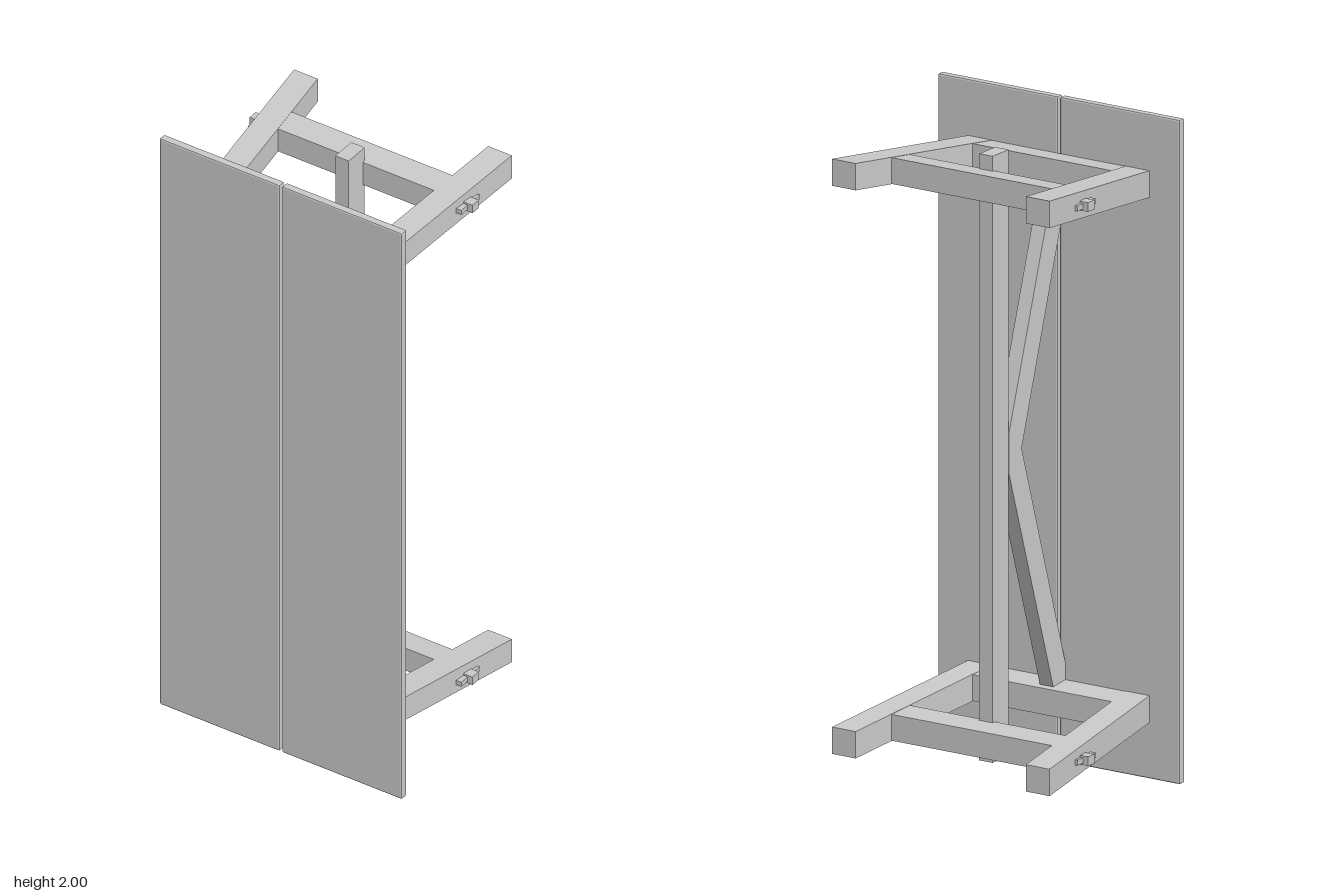
import * as THREE from 'three';
import { RoundedBoxGeometry } from 'three/addons/geometries/RoundedBoxGeometry.js';

const wood = new THREE.MeshStandardMaterial({ color: 0xcccccc, flatShading: true });

export function createModel() {
  const model = new THREE.Group();
  model.name = 'trestleTable';

  const add = (name, geometry, x = 0, y = 0, z = 0, parent = model) => {
    const mesh = new THREE.Mesh(geometry, wood);
    mesh.name = name;
    mesh.position.set(x, y, z);
    parent.add(mesh);
    return mesh;
  };

  // Box whose x and y slide along with z
  const shearedBox = (w, h, d, kx, ky) =>
    new THREE.BoxGeometry(w, h, d).applyMatrix4(new THREE.Matrix4().set(
      1, 0, kx, 0,
      0, 1, ky, 0,
      0, 0, 1, 0,
      0, 0, 0, 1));

  // Two tabletop boards with a narrow gap between them
  for (const s of [-1, 1]) {
    add('tabletopBoard', new RoundedBoxGeometry(0.42, 2, 0.025, 1, 0.005), s * 0.214, 1, 0.3005);
  }

  // Long central beam
  add('centreBeam', new THREE.BoxGeometry(0.047, 1.826, 0.082), 0, 1.002, -0.042);

  // One splayed leg frame and one diagonal brace at each end
  const legZ = -0.0125, splay = 0.105, rake = 0.108;
  for (const e of [-1, 1]) {
    const frame = new THREE.Group();
    frame.name = e > 0 ? 'upperLegFrame' : 'lowerLegFrame';
    model.add(frame);
    const centreY = (z) => 1 + e * (0.8225 - rake * (z - legZ));

    for (const s of [-1, 1]) {
      add('leg', shearedBox(0.083, 0.081, 0.601, -s * splay, -e * rake), s * 0.308, centreY(legZ), legZ, frame);
      // Flat wedge through the protruding tenon
      add('wedge', new THREE.BoxGeometry(0.033, 0.016, 0.094), s * 0.3565, 1 + e * 0.834, -0.113, frame);
    }
    add('stretcher', shearedBox(0.58, 0.079, 0.082, 0, -e * rake), 0, centreY(-0.114), -0.114, frame);
    add('tenon', new THREE.BoxGeometry(0.78, 0.028, 0.032), 0, 1 + e * 0.834, -0.114, frame);
    add('topRail', shearedBox(0.5, 0.079, 0.084, 0, -e * rake), 0, centreY(0.246), 0.246, frame);

    // Brace outline in z and height above the middle, mitred at both ends
    const outline = [[0, 0], [0.065, 0], [0.288, 0.7], [0.288, 0.751], [0.226, 0.758], [0, 0.06]];
    const shape = new THREE.Shape(outline.map(([z, y]) => new THREE.Vector2(z, 1 + e * y)));
    const brace = new THREE.ExtrudeGeometry(shape, { depth: 0.047, bevelEnabled: false });
    brace.translate(0, 0, -0.0235).rotateY(-Math.PI / 2);
    add('diagonalBrace', brace);
  }

  return model;
}
